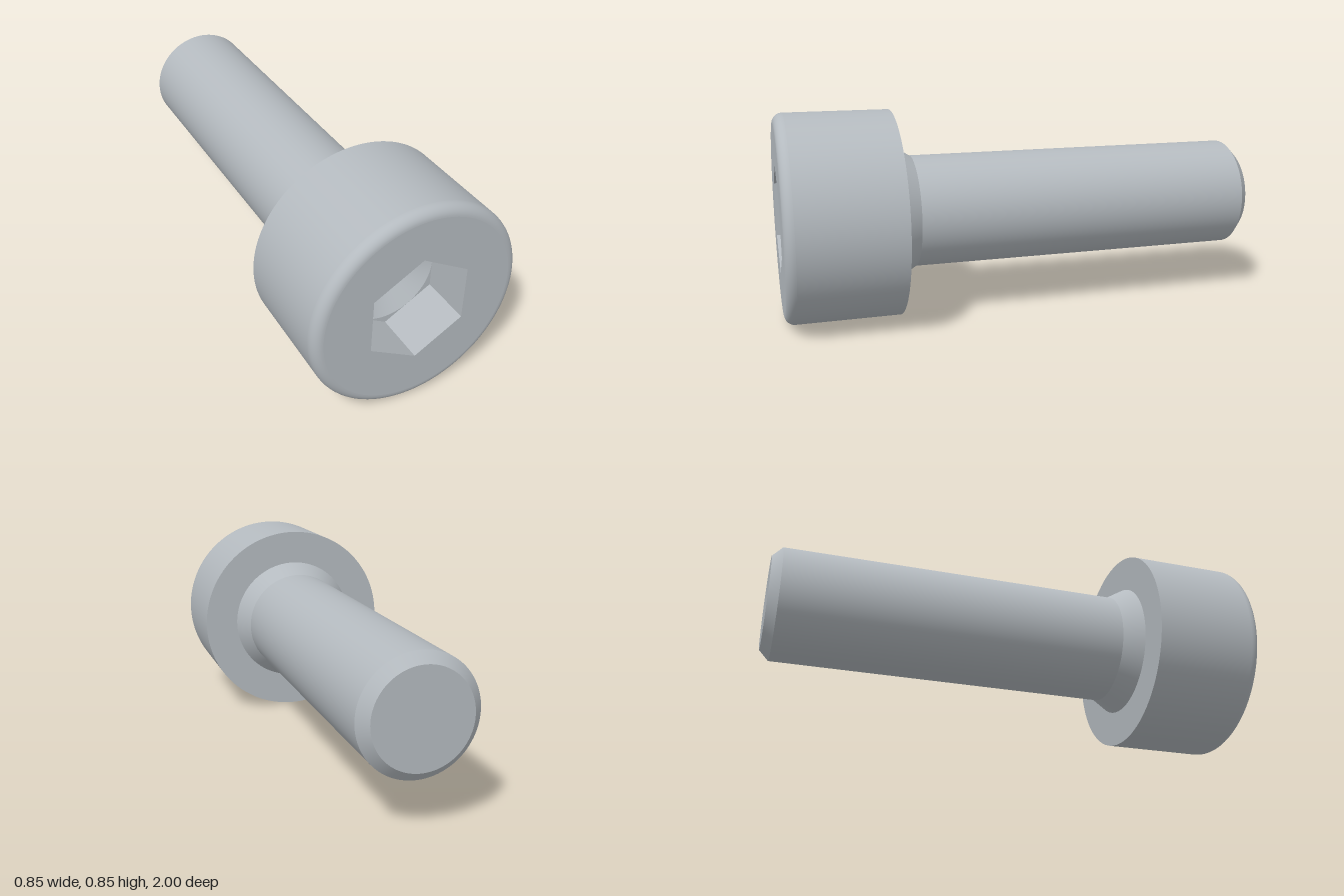
import * as THREE from 'three';

const HEAD_R = 0.423, SHANK_R = 0.23, COLLAR_R = 0.277, TIP_R = 0.19;
const BEARING_Z = 0.54, FILLET = 0.04;
const HEX_FLAT = 0.192, HEX_R = HEX_FLAT / Math.cos(Math.PI / 6);
const FLOOR_Z = 0.8, CONE_Z = 0.69;
const SEGMENTS = 96;

export function createModel() {
  const steel = new THREE.MeshStandardMaterial({ color: 0xb4babf });
  steel.name = 'steel';

  const screw = new THREE.Group();
  screw.name = 'socketHeadScrew';
  screw.position.y = HEAD_R;

  const add = (name, geometry) => {
    const mesh = new THREE.Mesh(geometry, steel);
    mesh.name = name;
    screw.add(mesh);
  };

  // Surface turned about the z axis from [radius, z] points
  const turn = (points, segments = SEGMENTS) =>
    new THREE.LatheGeometry(points.map(([r, z]) => new THREE.Vector2(r, z)), segments)
      .rotateX(Math.PI / 2);

  const hexPoints = () => Array.from({ length: 6 }, (_, i) => {
    const a = Math.PI / 2 + i * Math.PI / 3;
    return new THREE.Vector2(HEX_R * Math.cos(a), HEX_R * Math.sin(a));
  });

  // Shank, from the tip forward to the head; separate sections keep edges sharp
  add('tipFace', turn([[0, -1], [TIP_R, -1]]));
  add('tipChamfer', turn([[TIP_R, -1], [SHANK_R, -0.96]]));
  add('shank', turn([[SHANK_R, -0.96], [SHANK_R, 0.46]]));
  add('collar', turn([[SHANK_R, 0.46], [COLLAR_R, BEARING_Z]]));

  // Head with a rounded front rim
  add('bearingFace', turn([[COLLAR_R, BEARING_Z], [HEAD_R, BEARING_Z]]));
  add('headSide', turn([[HEAD_R, BEARING_Z], [HEAD_R, 1 - FILLET]]));
  const rim = [];
  for (let i = 0; i <= 10; i++) {
    const a = (i / 10) * Math.PI / 2;
    rim.push([HEAD_R - FILLET + FILLET * Math.cos(a), 1 - FILLET + FILLET * Math.sin(a)]);
  }
  add('headRim', turn(rim));

  // Front face around the hexagonal opening
  const face = new THREE.Shape().absarc(0, 0, HEAD_R - FILLET, 0, Math.PI * 2);
  face.holes.push(new THREE.Path(hexPoints()));
  add('headFace', new THREE.ShapeGeometry(face, SEGMENTS / 2).translate(0, 0, 1));

  // Socket: flat hexagonal walls, corner ledges and a drilled cone
  const walls = turn([[HEX_R, 1], [HEX_R, FLOOR_Z]], 6).toNonIndexed();
  walls.computeVertexNormals();
  add('socketWalls', walls);

  const ledge = new THREE.Shape(hexPoints());
  ledge.holes.push(new THREE.Path().absarc(0, 0, HEX_FLAT - 0.0005, 0, Math.PI * 2, true));
  add('socketLedge', new THREE.ShapeGeometry(ledge, SEGMENTS / 2).translate(0, 0, FLOOR_Z));
  add('socketCone', turn([[HEX_FLAT, FLOOR_Z], [0, CONE_Z]]));

  const model = new THREE.Group();
  model.name = 'screwModel';
  model.add(screw);
  return model;
}
